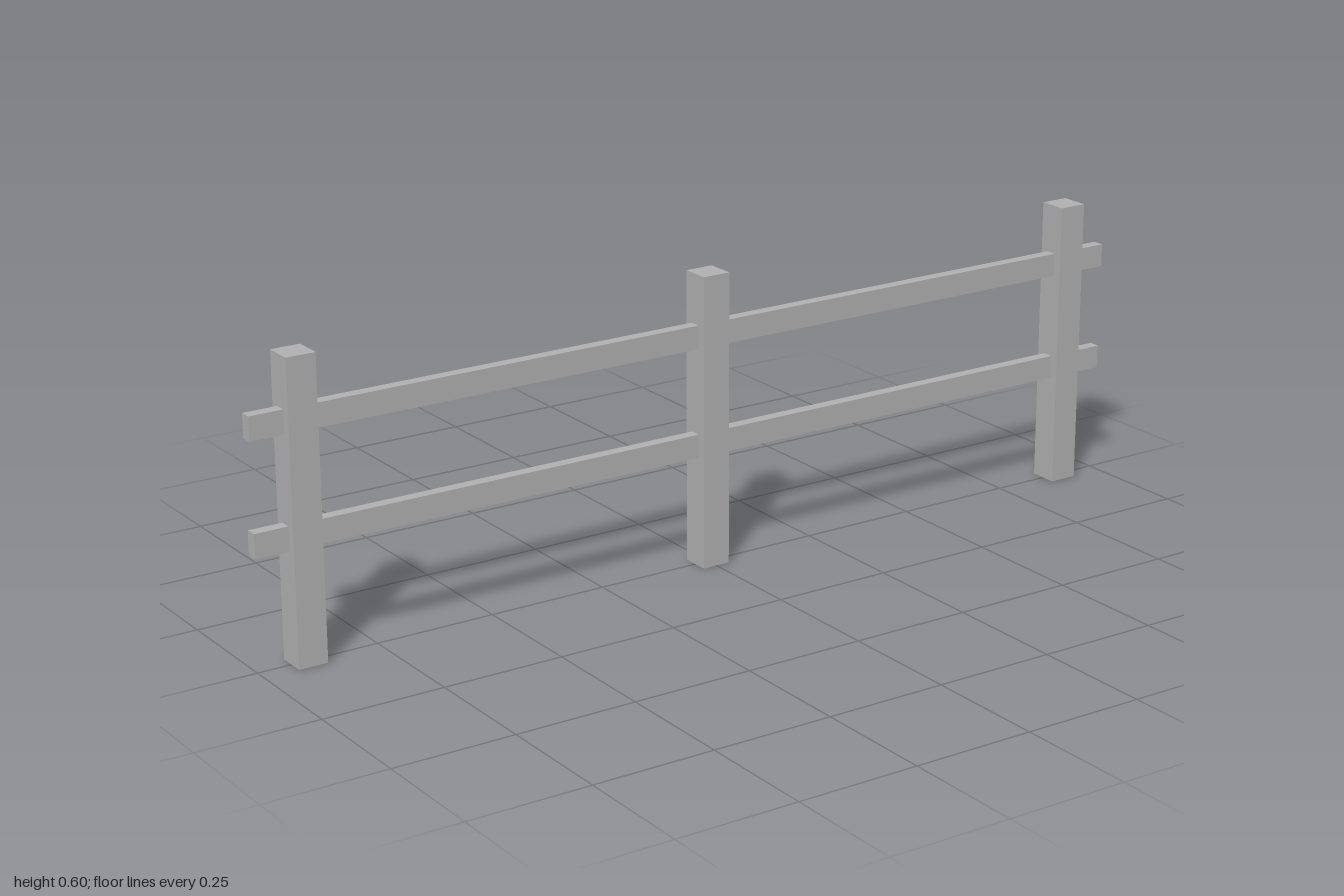
import * as THREE from 'three';

export function createModel() {
  const fence = new THREE.Group();
  fence.name = 'fence';

  const grey = new THREE.MeshStandardMaterial({ color: 0xb0b0b0 });
  grey.name = 'weathered grey';

  const addBeam = (name, size, x, y) => {
    const beam = new THREE.Mesh(new THREE.BoxGeometry(...size), grey);
    beam.name = name;
    beam.position.set(x, y, 0);
    fence.add(beam);
  };

  // Three square posts standing on the ground
  const postHeight = 0.602;
  const posts = { rightPost: -0.9, middlePost: 0, leftPost: 0.9 };
  for (const [name, x] of Object.entries(posts)) {
    addBeam(name, [0.06, postHeight, 0.06], x, postHeight / 2);
  }

  // Two thin rails running through the posts and past the ends
  const rails = { lowerRail: 0.252, upperRail: 0.476 };
  for (const [name, y] of Object.entries(rails)) {
    addBeam(name, [2, 0.048, 0.024], 0, y);
  }

  return fence;
}
